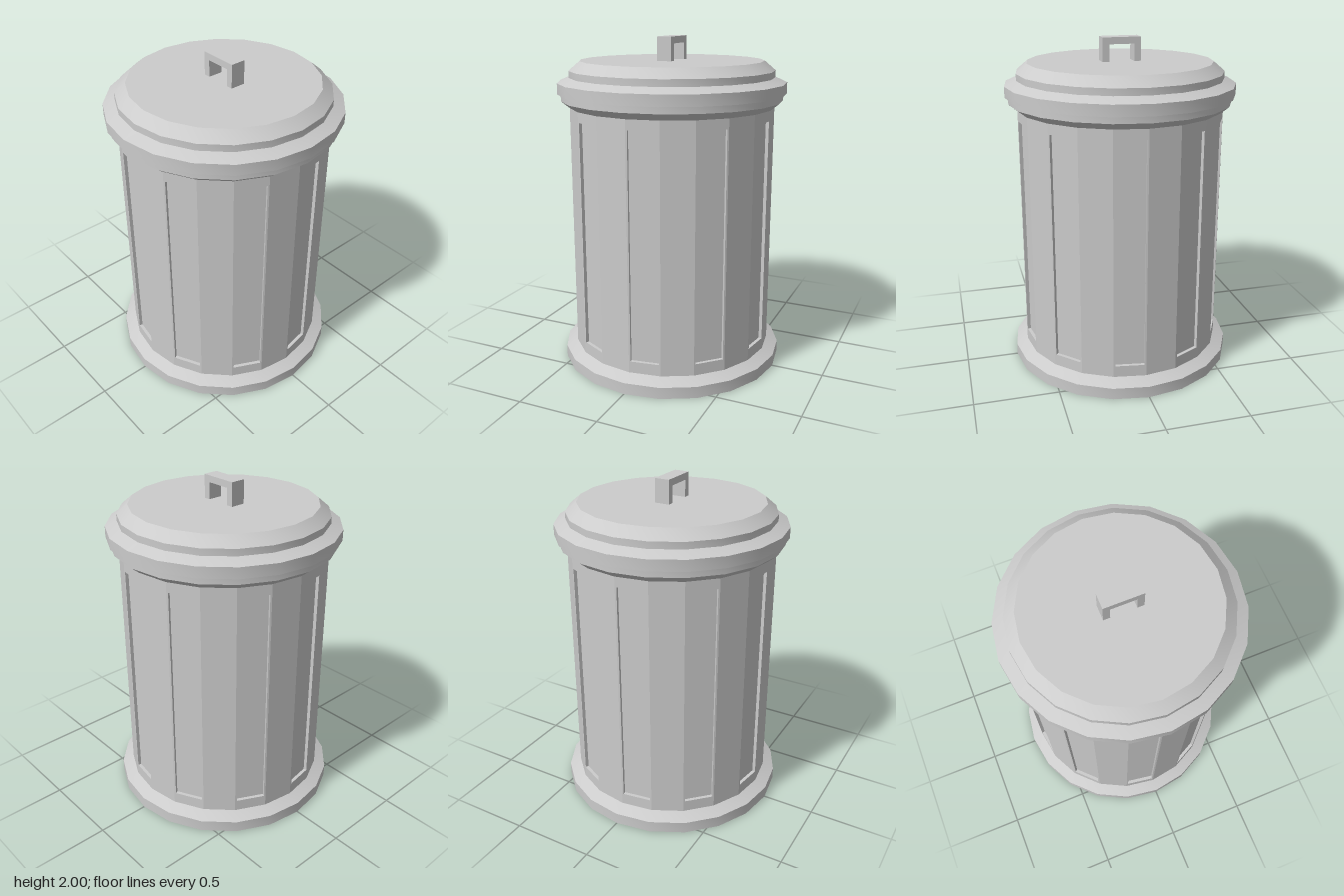
import * as THREE from 'three';
import { toCreasedNormals } from 'three/addons/utils/BufferGeometryUtils.js';

const SIDES = 20;
const STEP = (Math.PI * 2) / SIDES;
const R = 0.615;                 // body radius at the corners
const Y0 = 0.105, Y1 = 1.59;     // body bottom and top
const P0 = 0.175, P1 = 1.53;     // recessed panel bottom and top
const PANEL_HALF = 0.086, DEPTH = 0.02;

const smooth = new THREE.MeshStandardMaterial({ color: 0xcccccc });
const flat = new THREE.MeshStandardMaterial({ color: 0xcccccc, flatShading: true });

function addMesh(parent, name, geometry, material) {
  const mesh = new THREE.Mesh(geometry, material);
  mesh.name = name;
  parent.add(mesh);
  return mesh;
}

// Turned ring: facets blend around, profile edges stay sharp
function turned(points) {
  const profile = points.map(([r, y]) => new THREE.Vector2(r, y));
  return toCreasedNormals(new THREE.LatheGeometry(profile, SIDES), Math.PI / 7);
}

function rectangle(path, halfWidth, bottom, top) {
  path.moveTo(-halfWidth, bottom);
  path.lineTo(halfWidth, bottom);
  path.lineTo(halfWidth, top);
  path.lineTo(-halfWidth, top);
  path.closePath();
  return path;
}

// Four side walls and the floor of a sunken panel
function recessGeometry() {
  const corners = [[-1, P0], [1, P0], [1, P1], [-1, P1]];
  const positions = [];
  for (const z of [0, -DEPTH]) {
    for (const [s, y] of corners) positions.push(s * PANEL_HALF, y, z);
  }
  const index = [4, 5, 6, 4, 6, 7];
  for (let i = 0; i < 4; i++) {
    const j = (i + 1) % 4;
    index.push(i, j, j + 4, i, j + 4, i + 4);
  }
  const geometry = new THREE.BufferGeometry();
  geometry.setAttribute('position', new THREE.Float32BufferAttribute(positions, 3));
  geometry.setIndex(index);
  geometry.computeVertexNormals();
  return geometry;
}

export function createModel() {
  const model = new THREE.Group();
  model.name = 'trashCan';

  // Foot ring with closed underside
  addMesh(model, 'base', turned([[0, 0], [0.685, 0], [0.685, 0.07], [R, Y0]]), smooth);

  // Body: plain facets alternate with facets holding a sunken panel
  const body = new THREE.Group();
  body.name = 'body';
  model.add(body);
  const halfWidth = R * Math.sin(STEP / 2);
  const apothem = R * Math.cos(STEP / 2);
  const plain = new THREE.ShapeGeometry(rectangle(new THREE.Shape(), halfWidth, Y0, Y1));
  const frameShape = rectangle(new THREE.Shape(), halfWidth, Y0, Y1);
  frameShape.holes.push(rectangle(new THREE.Path(), PANEL_HALF, P0, P1));
  const frame = new THREE.ShapeGeometry(frameShape);
  const recess = recessGeometry();
  for (let k = 0; k < SIDES; k++) {
    const angle = (k + 0.5) * STEP;
    const facet = new THREE.Group();
    facet.name = 'bodyFacet';
    facet.position.set(Math.sin(angle) * apothem, 0, Math.cos(angle) * apothem);
    facet.rotation.y = angle;
    if (k % 2) {
      addMesh(facet, 'panelFrame', frame, flat);
      addMesh(facet, 'sunkenPanel', recess, flat);
    } else {
      addMesh(facet, 'plainStave', plain, flat);
    }
    body.add(facet);
  }

  // Flared lip under the lid
  addMesh(model, 'lip', turned([[R, Y1], [0.665, 1.63], [0.665, 1.67]]), smooth);

  // Lid with overhanging rim and bevelled crown
  addMesh(model, 'lid', turned([
    [0.665, 1.67], [0.685, 1.67], [0.685, 1.735], [R, 1.765],
    [R, 1.805], [0.55, 1.86], [0, 1.86],
  ]), smooth);

  // Square bracket handle
  const bracket = new THREE.Shape([
    [-0.115, 1.86], [-0.075, 1.86], [-0.075, 1.96], [0.075, 1.96],
    [0.075, 1.86], [0.115, 1.86], [0.115, 2], [-0.115, 2],
  ].map(([x, y]) => new THREE.Vector2(x, y)));
  const handle = new THREE.ExtrudeGeometry(bracket, { depth: 0.09, bevelEnabled: false });
  addMesh(model, 'handle', handle.translate(0, 0, -0.045), flat);

  return model;
}
